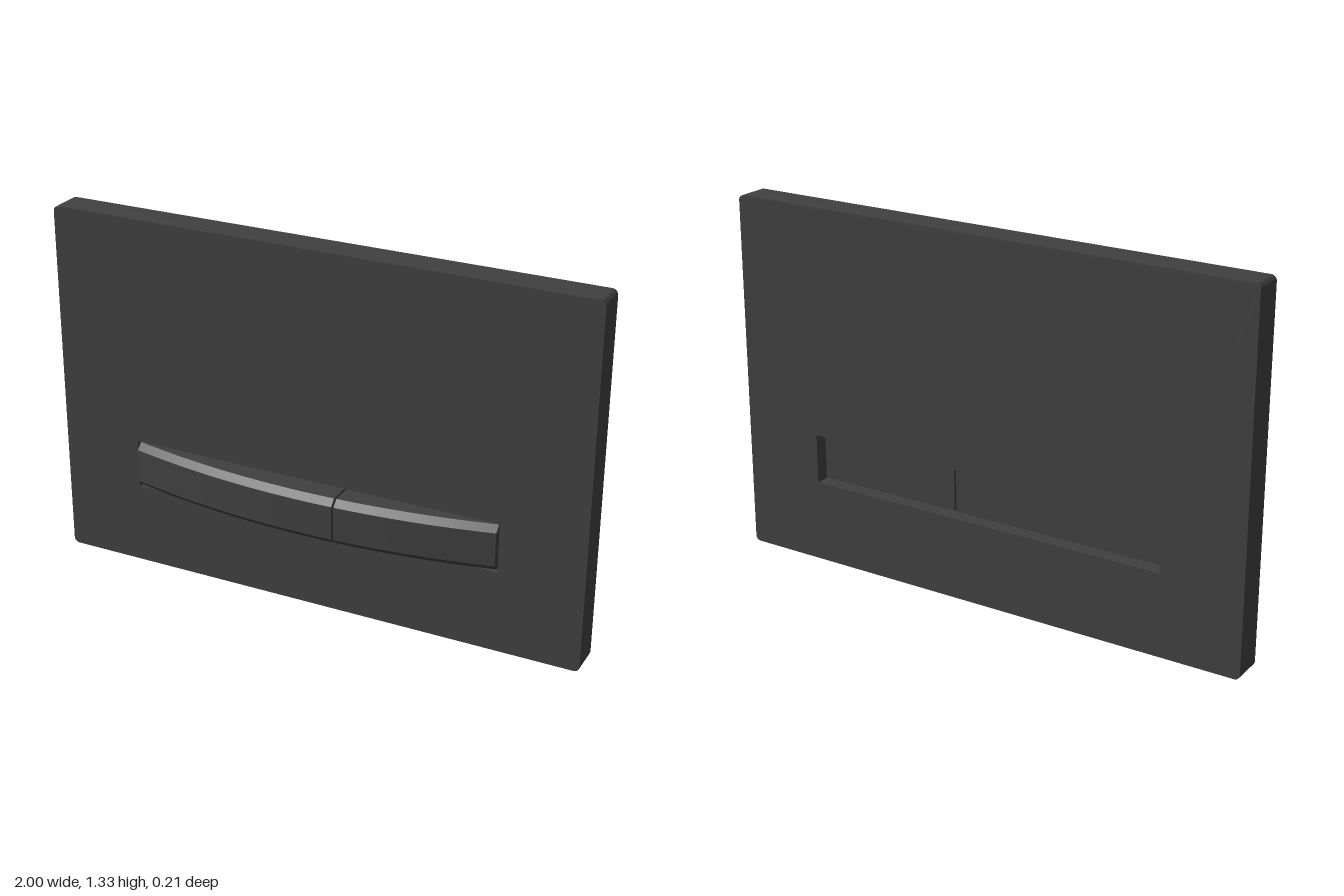
import * as THREE from 'three';
import { toCreasedNormals } from 'three/addons/utils/BufferGeometryUtils.js';

const BACK = -0.104, FRONT = 0.009, HEIGHT = 1.33;

// Flat panel with softened corners and a slot for the buttons
function plateGeometry() {
  const r = 0.02, s = new THREE.Shape();
  s.moveTo(-1 + r, 0);
  s.lineTo(1 - r, 0);
  s.absarc(1 - r, r, r, -Math.PI / 2, 0);
  s.absarc(1 - r, HEIGHT - r, r, 0, Math.PI / 2);
  s.absarc(-1 + r, HEIGHT - r, r, Math.PI / 2, Math.PI);
  s.absarc(-1 + r, r, r, Math.PI, Math.PI * 1.5);
  const slot = new THREE.Path();
  slot.moveTo(-0.698, 0.304);
  slot.lineTo(-0.698, 0.487);
  slot.lineTo(0.694, 0.487);
  slot.lineTo(0.694, 0.304);
  slot.closePath();
  s.holes.push(slot);
  const g = new THREE.ExtrudeGeometry(s, { depth: FRONT - BACK, bevelEnabled: false, curveSegments: 6 });
  return toCreasedNormals(g.translate(0, 0, BACK), 0.5);
}

// Height of the bowed button face: a circular arc
const R = 2.94;
const bow = (x) => 0.104 - R + Math.sqrt(R * R - x * x);

// Button swept along x, with chamfered upper and lower front edges
function buttonGeometry(x0, x1, segments) {
  const back = -0.061, c = 0.023, y0 = 0.31, y1 = 0.481, n = 6;
  const pos = [], idx = [];
  for (let i = 0; i <= segments; i++) {
    const x = x0 + (x1 - x0) * i / segments, f = bow(x);
    pos.push(x, y0, back, x, y1, back, x, y1, f - c, x, y1 - c, f, x, y0 + c, f, x, y0, f - c);
  }
  for (let i = 0; i < segments; i++) {
    for (let j = 0; j < n; j++) {
      const p = i * n + j, q = i * n + (j + 1) % n;
      idx.push(p, q, q + n, p, q + n, p + n);
    }
  }
  // End caps
  const e = segments * n;
  for (let j = 1; j < n - 1; j++) idx.push(0, j + 1, j, e, e + j, e + j + 1);
  const g = new THREE.BufferGeometry();
  g.setAttribute('position', new THREE.Float32BufferAttribute(pos, 3));
  g.setIndex(idx);
  return toCreasedNormals(g, 0.4);
}

export function createModel() {
  const group = new THREE.Group();
  group.name = 'flushPlate';
  const charcoal = new THREE.MeshStandardMaterial({ color: 0x404040 });
  charcoal.name = 'charcoal';
  const add = (name, geometry) => {
    const mesh = new THREE.Mesh(geometry, charcoal);
    mesh.name = name;
    group.add(mesh);
  };
  add('plate', plateGeometry());
  add('largeButton', buttonGeometry(-0.692, 0.121, 24));
  add('smallButton', buttonGeometry(0.129, 0.688, 16));
  return group;
}
